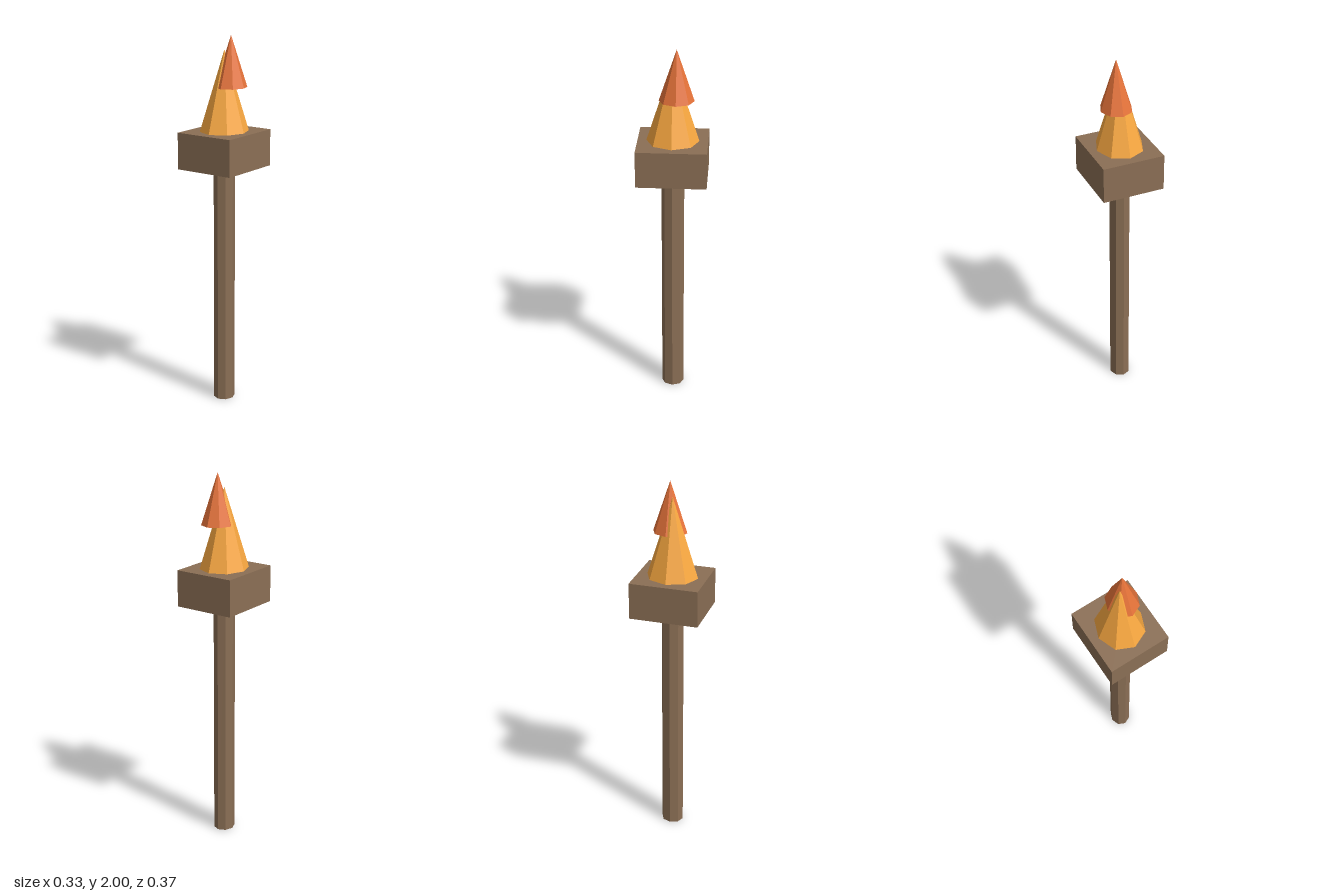
import * as THREE from 'three';

const SIDES = 8;
const DEPTH = 1.095; // every part is slightly deeper than wide

function material(color) {
  return new THREE.MeshStandardMaterial({ color, flatShading: true });
}

export function createModel() {
  const group = new THREE.Group();
  const wood = material(0x8b6f55);

  // Adds a part standing on the given base height
  function add(name, geometry, mat, x, base, height, z) {
    const mesh = new THREE.Mesh(geometry, mat);
    mesh.name = name;
    mesh.position.set(x, base + height / 2, z);
    mesh.scale.z = DEPTH;
    group.add(mesh);
  }

  // Octagonal handle
  add('handle', new THREE.CylinderGeometry(0.055, 0.055, 1.305, SIDES), wood, 0, 0, 1.305, 0);

  // Block head
  add('head', new THREE.BoxGeometry(0.334, 0.195, 0.334), wood, 0, 1.305, 0.195, 0);

  // Large flame, with a smaller one offset through its tip
  add('outerFlame', new THREE.ConeGeometry(0.125, 0.425, SIDES), material(0xfaa941), 0, 1.5, 0.425, 0);
  add('flameTip', new THREE.ConeGeometry(0.083, 0.27, SIDES), material(0xe8743a), 0.027, 1.73, 0.27, -0.021);

  return group;
}
